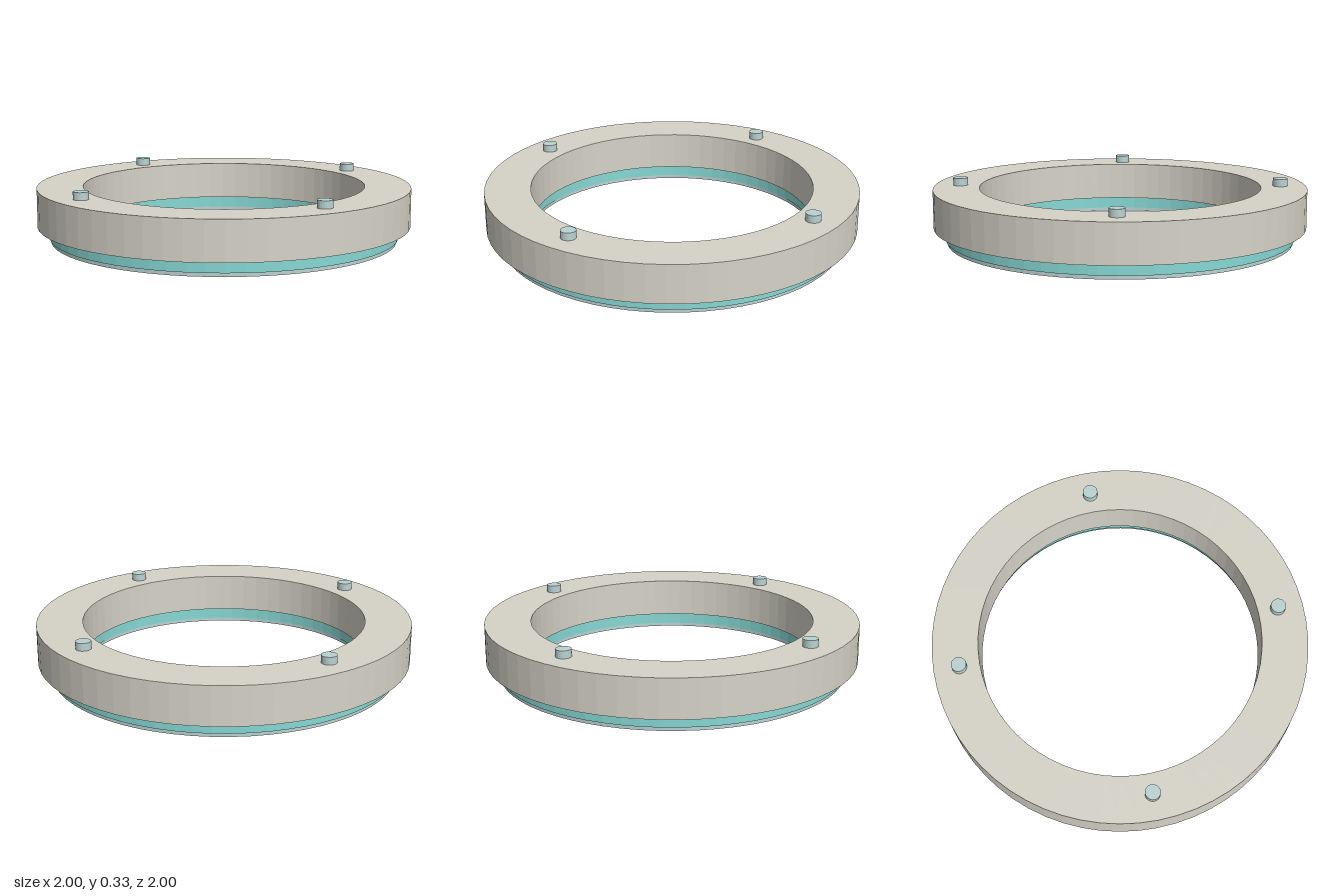
import * as THREE from 'three';

export function createModel() {
  const model = new THREE.Group();
  const material = (name, color) => {
    const m = new THREE.MeshStandardMaterial({ color, flatShading: true });
    m.name = name;
    return m;
  };
  const stone = material('warm grey', 0xd6d3c8);
  const teal = material('pale teal', 0x86d8d4);
  const steel = material('blue grey', 0xbbd3d2);

  // Closed rectangular section turned around the y axis
  const addRing = (name, inner, outer, bottom, top, mat) => {
    const section = [
      [inner, bottom], [outer, bottom], [outer, top], [inner, top], [inner, bottom],
    ].map(([r, y]) => new THREE.Vector2(r, y));
    const ring = new THREE.Mesh(new THREE.LatheGeometry(section, 64), mat);
    ring.name = name;
    model.add(ring);
  };

  addRing('mainRing', 0.755, 1, 0.083, 0.288, stone);
  addRing('sealRing', 0.775, 0.938, 0.02, 0.083, teal);
  addRing('baseRing', 0.78, 0.93, 0, 0.02, steel);

  // Four pins standing on the main ring
  const pinGeometry = new THREE.CylinderGeometry(0.04, 0.04, 0.05, 24);
  for (let i = 0; i < 4; i++) {
    const angle = (i * Math.PI) / 2;
    const pin = new THREE.Mesh(pinGeometry, steel);
    pin.name = `pin${i + 1}`;
    pin.position.set(0.862 * Math.cos(angle), 0.303, 0.862 * Math.sin(angle));
    model.add(pin);
  }
  return model;
}
